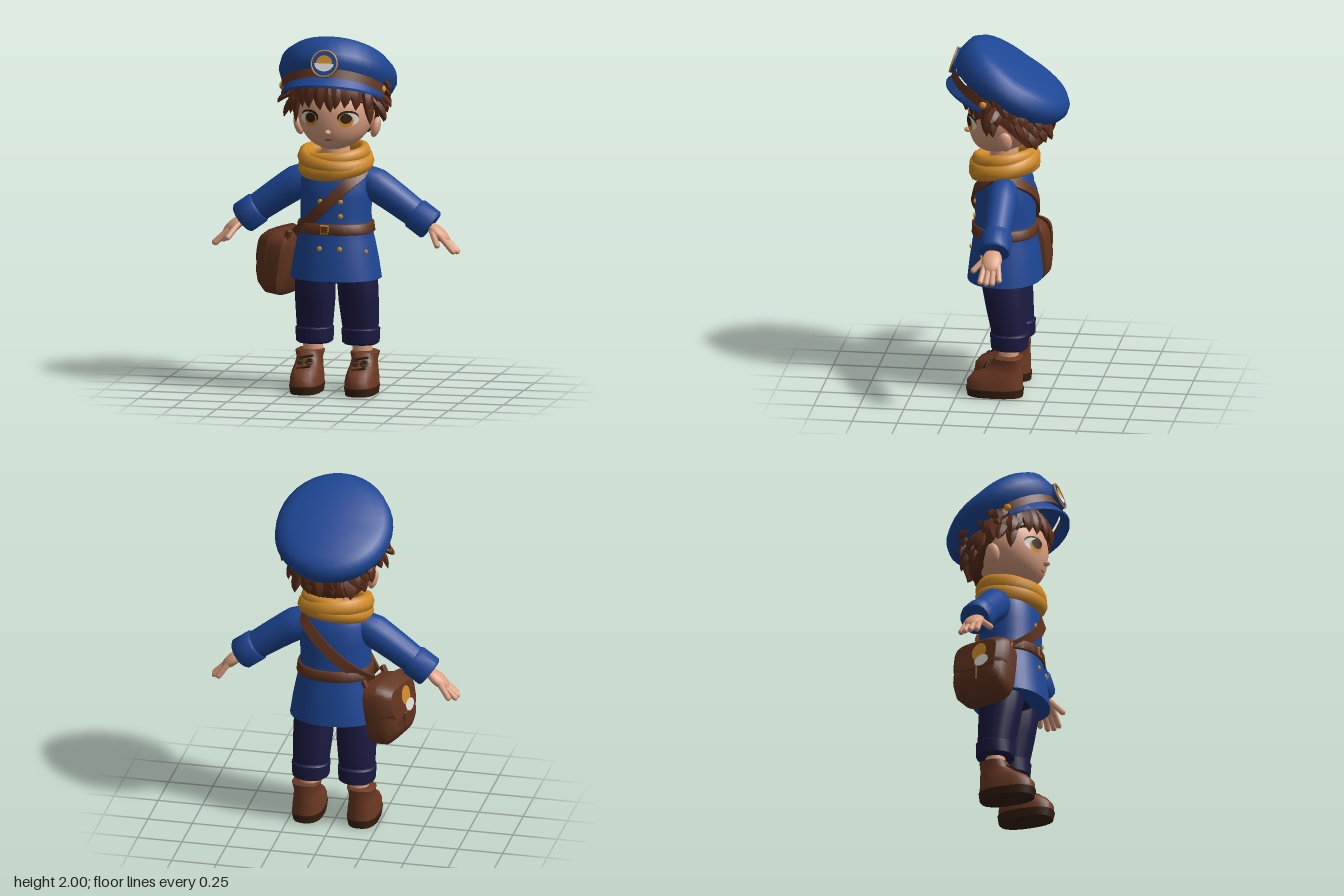
import * as THREE from 'three';
import { toCreasedNormals } from 'three/addons/utils/BufferGeometryUtils.js';
import { RoundedBoxGeometry } from 'three/addons/geometries/RoundedBoxGeometry.js';

const mat = (name, color, side = THREE.FrontSide) => {
  const m = new THREE.MeshStandardMaterial({ color, side });
  m.name = name;
  return m;
};
const V = (x, y, z) => new THREE.Vector3(x, y, z);
const { sin, cos, abs, sign, sqrt, max, min, PI } = Math;

// Skin over a stack of rings, closed at both ends
function loft(rings, crease = 0.8) {
  const n = rings[0].length, pos = [], idx = [];
  rings.forEach(r => r.forEach(p => pos.push(p.x, p.y, p.z)));
  for (let i = 0; i < rings.length - 1; i++) for (let j = 0; j < n; j++) {
    const a = i * n + j, b = i * n + (j + 1) % n;
    idx.push(a, b, a + n, b, b + n, a + n);
  }
  [rings[0], rings[rings.length - 1]].forEach((r, e) => {
    const c = V(0, 0, 0), base = e ? (rings.length - 1) * n : 0, k = pos.length / 3;
    r.forEach(p => c.addScaledVector(p, 1 / n));
    pos.push(c.x, c.y, c.z);
    for (let j = 0; j < n; j++) {
      const a = base + j, b = base + (j + 1) % n;
      e ? idx.push(k, a, b) : idx.push(k, b, a);
    }
  });
  const g = new THREE.BufferGeometry();
  g.setAttribute('position', new THREE.Float32BufferAttribute(pos, 3));
  g.setIndex(idx);
  return toCreasedNormals(g, crease);
}

// Horizontal rounded ring; p below 1 makes it squarer
const pw = (v, p) => sign(v) * abs(v) ** p;
const ring = (y, rx, rz, cx = 0, cz = 0, p = 1, n = 24) => Array.from({ length: n }, (_, j) => {
  const a = j / n * PI * 2;
  return V(cx + rx * pw(sin(a), p), y, cz + rz * pw(cos(a), p));
});

// Sweep an oval (or, with four sides, a strip) along points; hint gives the thickness direction
function sweep(pts, hint, wu, wv, n = 6, phase = 0, crease = 0.8) {
  return loft(pts.map((p, i) => {
    const T = pts[min(i + 1, pts.length - 1)].clone().sub(pts[max(i - 1, 0)]).normalize();
    const h = hint(p), U = h.clone().addScaledVector(T, -h.dot(T)).normalize(), W = T.clone().cross(U);
    const t = i / (pts.length - 1);
    return Array.from({ length: n }, (_, j) => {
      const a = j / n * PI * 2 + phase;
      return p.clone().addScaledVector(U, cos(a) * wu(t)).addScaledVector(W, sin(a) * wv(t));
    });
  }), crease);
}

// Coat outline: height, half width, half depth
const COAT = [[0.64, 0.252, 0.207], [0.75, 0.235, 0.195], [0.85, 0.215, 0.18], [0.92, 0.198, 0.168], [1, 0.195, 0.165],
  [1.1, 0.197, 0.163], [1.2, 0.195, 0.153], [1.26, 0.17, 0.125], [1.31, 0.1, 0.09]];
const coatAt = y => {
  const i = max(1, COAT.findIndex(r => r[0] >= y)), [a, b] = [COAT[i - 1], COAT[i]], t = (y - a[0]) / (b[0] - a[0]);
  return [a[1] + (b[1] - a[1]) * t, a[2] + (b[2] - a[2]) * t];
};
const coatZ = (x, y) => { const [rx, rz] = coatAt(y); return rz * sqrt(max(0, 1 - (x / rx) ** 2)); };

// Face depth at a given spot
const headZ = (x, y) => {
  const v = (y - 1.57) / 0.21;
  return 0.215 * sqrt(max(0, 1 - v * v - (x / 0.215) ** 2)) + (v < 0 ? 0.07 * v * v : 0);
};

export function createModel() {
  const M = {
    blue: mat('blue cloth', 0x1d4694), leather: mat('bag leather', 0x61341f, THREE.DoubleSide), hair: mat('brown hair', 0x5a2d1a),
    skin: mat('skin', 0xdda183), navy: mat('navy trousers', 0x1b1a42), mustard: mat('mustard', 0xd08c28),
    dark: mat('dark brown', 0x36200f), white: mat('white', 0xe2dfda), boot: mat('boot leather', 0x6c3923)
  };
  const root = new THREE.Group();
  root.name = 'courierChild';
  const add = (parent, name, geo, m, p = [0, 0, 0], r = [0, 0, 0]) => {
    const mesh = new THREE.Mesh(geo, m);
    mesh.name = name;
    mesh.position.set(...p);
    mesh.rotation.set(...r);
    parent.add(mesh);
    return mesh;
  };
  const group = name => { const g = new THREE.Group(); g.name = name; root.add(g); return g; };
  const ball = (x, y, z) => new THREE.SphereGeometry(1, 16, 12).scale(x, y, z);
  let seed = 7;
  const rnd = () => (seed = (seed * 16807) % 2147483647) / 2147483647;

  // Head, ears, nose and neck
  const head = group('head');
  const skull = new THREE.SphereGeometry(1, 36, 28), sp = skull.attributes.position;
  for (let i = 0; i < sp.count; i++) {
    const v = sp.getY(i);
    sp.setXYZ(i, sp.getX(i) * 0.215, 1.57 + v * 0.21, sp.getZ(i) * 0.215 + (v < 0 ? 0.07 * v * v : 0));
  }
  skull.computeVertexNormals();
  add(head, 'face', skull, M.skin);
  add(head, 'nose', ball(0.018, 0.015, 0.022), M.skin, [0, 1.472, headZ(0, 1.472) + 0.01]);
  add(head, 'neck', new THREE.CylinderGeometry(0.075, 0.085, 0.18, 20), M.skin, [0, 1.34, 0.015]);
  // Painted face details, laid on the face surface
  const paint = (name, m, cx, cy, rx, ry, off) => {
    const g = new THREE.CircleGeometry(1, 24), p = g.attributes.position;
    for (let i = 0; i < p.count; i++) {
      const x = cx + p.getX(i) * rx, y = cy + p.getY(i) * ry;
      p.setXYZ(i, x, y, headZ(x, y) + off);
    }
    g.computeVertexNormals();
    add(head, name, g, m);
  };
  paint('mouth', M.hair, 0, 1.428, 0.02, 0.003, 0.004);
  for (const s of [-1, 1]) {
    add(head, 'ear', ball(0.026, 0.058, 0.04), M.skin, [s * 0.217, 1.475, -0.02], [0, 0, -s * 0.25]);
    paint('eyelash', M.dark, s * 0.107, 1.556, 0.054, 0.038, 0.003);
    paint('eyeWhite', M.white, s * 0.112, 1.545, 0.05, 0.036, 0.005);
    paint('iris', M.mustard, s * 0.1, 1.538, 0.038, 0.038, 0.007);
    paint('pupil', M.dark, s * 0.1, 1.55, 0.03, 0.028, 0.009);
  }

  // Hair: a shell under the cap with chunky pointed locks around it
  const hair = group('hair');
  const drop = a => min(1, max(0, -cos(a) * 1.5));
  const shell = [];
  for (let k = 0; k <= 8; k++) shell.push(Array.from({ length: 36 }, (_, j) => {
    const a = j / 36 * PI * 2, low = 1.57 + 0.11 * max(0, cos(a)) - 0.15 * drop(a), y = low + (1.74 - low) * k / 8;
    const d = ((y - 1.58) / 0.24) ** 2, f = sqrt(1 - d * (y < 1.58 ? 0.65 : 1));
    return V(0.232 * f * sin(a), y, 0.235 * f * cos(a) - 0.005);
  }));
  add(hair, 'hairShell', loft(shell), M.hair);
  const polar = (a, r, y) => V(r * sin(a), y, r * cos(a));
  const lock = (a0, r0, y0, a1, r1, y1, bulge, w) => {
    const mid = polar((a0 + a1) / 2, max(r0, r1) * 0.97 + bulge, y0 * 0.45 + y1 * 0.55);
    const pts = new THREE.QuadraticBezierCurve3(polar(a0, r0, y0), mid, polar(a1, r1, y1)).getPoints(5);
    const shape = t => max(0.02, (1 - t ** 2.2) * (0.8 + 0.4 * t));
    add(hair, 'hairLock', sweep(pts, p => V(p.x, 0.02, p.z), t => w * 0.55 * shape(t), t => w * shape(t), 6, 0, 0.5), M.hair);
  };
  for (const tier of [0, 1, 2]) for (let i = 0; i < 15; i++) {
    const a = 1.15 + tier * 0.13 + i / 14 * (PI * 2 - 2.3 - tier * 0.26), sway = (rnd() - 0.5) * 0.4;
    const tip = 1.565 - 0.14 * drop(a) + tier * 0.055 + rnd() * 0.025;
    lock(a, 0.2, tip + 0.13, a + sway, 0.235 + tier * 0.012 + rnd() * 0.02 + 0.05 * abs(sin(a)) * rnd(), tip, 0.008, 0.052);
  }
  for (let i = 0; i < 9; i++) {
    const a = -1.04 + i * 0.26;
    lock(a, 0.17, 1.77, a + (rnd() - 0.5) * 0.35, 0.228, 1.585 + rnd() * 0.035, 0.022, 0.05);
  }
  for (const s of [-1, 1]) {
    lock(s * 1.15, 0.2, 1.68, s * 1.2, 0.224, 1.5, 0.015, 0.045);
    lock(s * 1.35, 0.21, 1.66, s * 1.45, 0.29, 1.52, 0, 0.045);
    lock(s * 1.5, 0.21, 1.68, s * 1.4, 0.325, 1.6, 0, 0.04);
  }

  // Cap, tipped back: crown, strap, buttons, visor
  const cap = group('cap');
  cap.position.set(0, 1.78, -0.055);
  cap.rotation.x = -0.524;
  const profile = [[0, -0.112], [0.28, -0.112], [0.31, -0.08], [0.327, -0.035], [0.319, 0.01], [0.285, 0.045], [0.23, 0.064], [0.12, 0.082], [0, 0.088]];
  const crown = new THREE.LatheGeometry(profile.map(p => new THREE.Vector2(...p)), 36), cp = crown.attributes.position;
  for (let i = 0; i < cp.count; i++) {
    const y = cp.getY(i), z = cp.getZ(i) * 1.035, f = max(0, z);
    cp.setXYZ(i, cp.getX(i), y + (y > 0 ? 0.13 * f : 0), z + f * 0.12 * max(0, -y / 0.112));
  }
  add(cap, 'crown', toCreasedNormals(crown, 0.7), M.blue);
  add(cap, 'capStrap', new THREE.CylinderGeometry(0.304, 0.298, 0.05, 32, 1, true, -1.3, 2.6).scale(1, 1, 1.07), M.leather, [0, -0.14, 0]);
  for (const s of [-1, 1]) add(cap, 'strapButton', ball(0.012, 0.02, 0.02), M.mustard, [s * 0.288, -0.138, 0.09]);
  const visor = [];
  for (let i = 0; i <= 20; i++) {
    const a = -1.3 + i * 0.13, k = cos(a / 1.3 * PI / 2), at = (r, y) => V(r * sin(a), y, r * cos(a) * 1.03);
    const ro = 0.298 + 0.017 * k, yo = -0.18 - 0.037 * k;
    visor.push([at(0.29, -0.15), at(ro, yo), at(ro - 0.006, yo - 0.012), at(0.28, -0.17)]);
  }
  add(cap, 'visor', loft(visor), M.blue);

  // Round cap badge
  const badge = group('badge');
  badge.position.set(0, 1.868, 0.288);
  badge.rotation.x = -0.3;
  add(badge, 'badgePlate', new THREE.CylinderGeometry(0.072, 0.076, 0.03, 28).rotateX(PI / 2), M.blue, [0, 0, -0.005]);
  add(badge, 'badgeRim', new THREE.TorusGeometry(0.072, 0.005, 6, 28), M.mustard, [0, 0, 0.008]);
  add(badge, 'badgeSun', new THREE.CircleGeometry(0.046, 20, 0, PI), M.mustard, [0, 0, 0.012]);
  add(badge, 'badgeCloud', new THREE.CircleGeometry(0.055, 20, PI, PI).scale(1, 0.8, 1), M.white, [0, 0, 0.012]);

  // Scarf wound in three loops, lower at the front
  const scarf = group('scarf');
  for (const [y, R, t, tx, tz] of [[1.27, 0.165, 0.035, 0.19, 0.08], [1.3, 0.164, 0.037, 0.18, -0.1], [1.33, 0.152, 0.03, 0.13, 0.07]])
    add(scarf, 'scarfLoop', new THREE.TorusGeometry(R, t, 8, 32).rotateX(PI / 2).scale(1.06, 1.35, 1), M.mustard, [0, y, 0.012], [tx, 0, tz]);

  // Coat, belt and buttons
  const coat = group('coat');
  add(coat, 'coatBody', loft(COAT.map(([y, rx, rz]) => ring(y, rx, rz, 0, 0.008, 0.9, 32))), M.blue);
  add(coat, 'belt', loft([0.895, 0.9, 0.95, 0.955].map((y, i) => {
    const [rx, rz] = coatAt(y), o = i % 3 ? 0.013 : 0.008;
    return ring(y, rx + o, rz + o, 0, 0.008, 0.9, 32);
  })), M.leather);
  add(coat, 'buckle', new RoundedBoxGeometry(0.05, 0.052, 0.012, 2, 0.005), M.mustard, [-0.025, 0.925, 0.187]);
  add(coat, 'buckleCentre', new THREE.BoxGeometry(0.038, 0.038, 0.008), M.leather, [-0.025, 0.925, 0.191]);
  for (const [x, y] of [[-0.052, 1.08], [0.062, 1.08], [0.062, 1], [-0.052, 0.82], [0.062, 0.82], [0.19, 0.8]])
    add(coat, 'coatButton', ball(0.014, 0.014, 0.007), M.mustard, [x, y, coatZ(x, y) + 0.014]);

  for (const s of [-1, 1]) {
    // Sleeve and cuff
    const arm = group(s > 0 ? 'leftArm' : 'rightArm');
    const path = p => p.map(([x, y]) => V(s * x, y, -0.008)), side = () => V(0, 0, 1);
    const sleeve = new THREE.CatmullRomCurve3(path([[0.1, 1.205], [0.2, 1.168], [0.3, 1.105], [0.41, 1.028], [0.515, 0.953]])).getPoints(10);
    const rad = t => t < 0.3 ? 0.07 + 0.08 * t : 0.094 - 0.026 * (t - 0.3);
    add(arm, 'sleeve', sweep(sleeve, side, t => rad(t) * 0.93, rad, 16), M.blue);
    add(arm, 'cuff', sweep(path([[0.435, 1.01], [0.445, 1.003], [0.527, 0.944], [0.535, 0.938]]), side,
      t => t > 0 && t < 1 ? 0.088 : 0.08, t => t > 0 && t < 1 ? 0.09 : 0.08, 16), M.blue);
    // Hand with four slightly curled fingers and a thumb
    const d = V(s * 0.77, -0.64, 0), at = (l, z, sink = 0) => V(s * (0.53 - sink * 0.64), 0.94 - sink * 0.77, z).addScaledVector(d, l);
    const palm = add(arm, 'palm', ball(0.033, 0.078, 0.056), M.skin, at(0.06, 0).toArray());
    palm.quaternion.setFromUnitVectors(V(0, 1, 0), d);
    const finger = (a, b, r) => {
      const m = add(arm, 'finger', new THREE.CapsuleGeometry(r, a.distanceTo(b), 4, 8), M.skin, a.clone().lerp(b, 0.5).toArray());
      m.quaternion.setFromUnitVectors(V(0, 1, 0), b.clone().sub(a).normalize());
    };
    [-0.042, -0.014, 0.014, 0.042].forEach((z, i) =>
      finger(at(0.09, z * 0.9), at([0.17, 0.2, 0.203, 0.19][i], z * 1.2, [0.022, 0.01, 0.006, 0.012][i]), 0.0165));
    finger(at(0.03, 0.035, 0.01), at(0.105, 0.1, 0.032), 0.017);

    // Trouser leg with turned-up cuff, ankle
    const leg = group(s > 0 ? 'leftLeg' : 'rightLeg');
    const stack = rows => loft(rows.map(([y, rx, rz, cx, cz]) => ring(y, rx, rz, s * cx, cz, 0.85, 20)));
    add(leg, 'trouserLeg', stack([[0.3, 0.092, 0.09, 0.13, -0.035], [0.38, 0.1, 0.1, 0.128, -0.03], [0.5, 0.108, 0.112, 0.123, -0.015],
      [0.62, 0.11, 0.12, 0.119, 0], [0.72, 0.1, 0.115, 0.115, 0]]), M.navy);
    add(leg, 'trouserCuff', stack([[0.265, 0.088, 0.09, 0.13, -0.035], [0.275, 0.101, 0.103, 0.13, -0.035],
      [0.35, 0.105, 0.107, 0.13, -0.033], [0.362, 0.092, 0.095, 0.13, -0.033]]), M.navy);
    add(leg, 'ankle', new THREE.CylinderGeometry(0.055, 0.055, 0.14, 14), M.skin, [s * 0.14, 0.23, -0.03]);
    // Boot: half width, heel and toe at each height
    const boot = rows => loft(rows.map(([y, w, b, f]) => ring(y, w, (f - b) / 2, s * 0.155, (f + b) / 2, 0.78, 24)));
    add(leg, 'sole', boot([[0, 0.083, -0.112, 0.195], [0.045, 0.09, -0.117, 0.205]]), M.dark);
    add(leg, 'boot', boot([[0.04, 0.086, -0.112, 0.2], [0.085, 0.086, -0.11, 0.198], [0.12, 0.08, -0.11, 0.17], [0.15, 0.074, -0.108, 0.11],
      [0.185, 0.07, -0.107, 0.06], [0.222, 0.08, -0.11, 0.048], [0.23, 0.065, -0.095, 0.035]]), M.boot);
    for (const [y, z] of [[0.145, 0.125], [0.17, 0.085], [0.195, 0.058]])
      add(leg, 'lace', new THREE.CapsuleGeometry(0.007, 0.07, 3, 6), M.dark, [s * 0.155, y, z], [0, 0, PI / 2 + 0.2]);
    for (const e of [-1, 1])
      add(leg, 'laceBow', new THREE.TorusGeometry(0.018, 0.005, 5, 12), M.dark, [s * 0.155 + e * 0.024, 0.172, 0.092], [-0.7, 0, 0]);
  }
  add(root, 'trouserSeat', ball(0.2, 0.06, 0.12), M.navy, [0, 0.66, 0]);

  // Shoulder strap, from the bag over the left shoulder and down the back
  const strap = [];
  for (const f of [1, -1]) {
    for (let i = 0; i <= 6; i++) {
      const t = (f > 0 ? i : 6 - i) / 6, x = -0.215 + 0.375 * t, y = 0.88 + 0.35 * t;
      strap.push(V(x, y, f * max(0.05, coatZ(x, y) + 0.014) + 0.006));
    }
    if (f > 0) strap.push(V(0.165, 1.285, 0));
  }
  add(root, 'shoulderStrap', sweep(new THREE.CatmullRomCurve3(strap).getPoints(48), p => V(p.x, p.y - 1.05, p.z),
    () => 0.012, () => 0.042, 4, PI / 4), M.leather);

  // Rounded satchel on the right hip, top leaning inward, bulging outward
  const bag = group('satchel');
  bag.position.set(-0.315, 0.715, -0.035);
  bag.rotation.set(-0.16, -1.83, 0, 'YXZ');
  const pillow = rows => loft(rows.map(([z, rx, ry, cy]) => ring(z, rx, ry, 0, -cy, 0.5, 32)), 0.6).rotateX(PI / 2);
  add(bag, 'bagBody', pillow([[-0.085, 0.14, 0.15, 0], [-0.065, 0.168, 0.18, 0], [0.015, 0.172, 0.182, 0],
    [0.06, 0.16, 0.155, 0.01], [0.088, 0.13, 0.115, 0.015]]), M.leather);
  add(bag, 'bagFlap', pillow([[0.02, 0.176, 0.125, 0.065], [0.064, 0.165, 0.105, 0.065], [0.096, 0.135, 0.085, 0.055]]), M.leather);
  add(bag, 'flapTab', new RoundedBoxGeometry(0.04, 0.09, 0.02, 2, 0.008), M.leather, [0, -0.06, 0.09], [0.15, 0, 0]);
  for (const s of [-1, 1]) add(bag, 'strapTab', new RoundedBoxGeometry(0.035, 0.11, 0.03, 2, 0.01), M.leather, [s * 0.11, 0.15, -0.06], [-0.3, 0, 0]);
  add(bag, 'flapSun', new THREE.CircleGeometry(0.05, 16).scale(0.95, 1.1, 1), M.mustard, [0.025, 0.07, 0.099]);
  add(bag, 'flapCloud', new THREE.CircleGeometry(0.042, 12).scale(1.1, 0.85, 1), M.white, [0.048, 0.008, 0.102]);
  return root;
}
